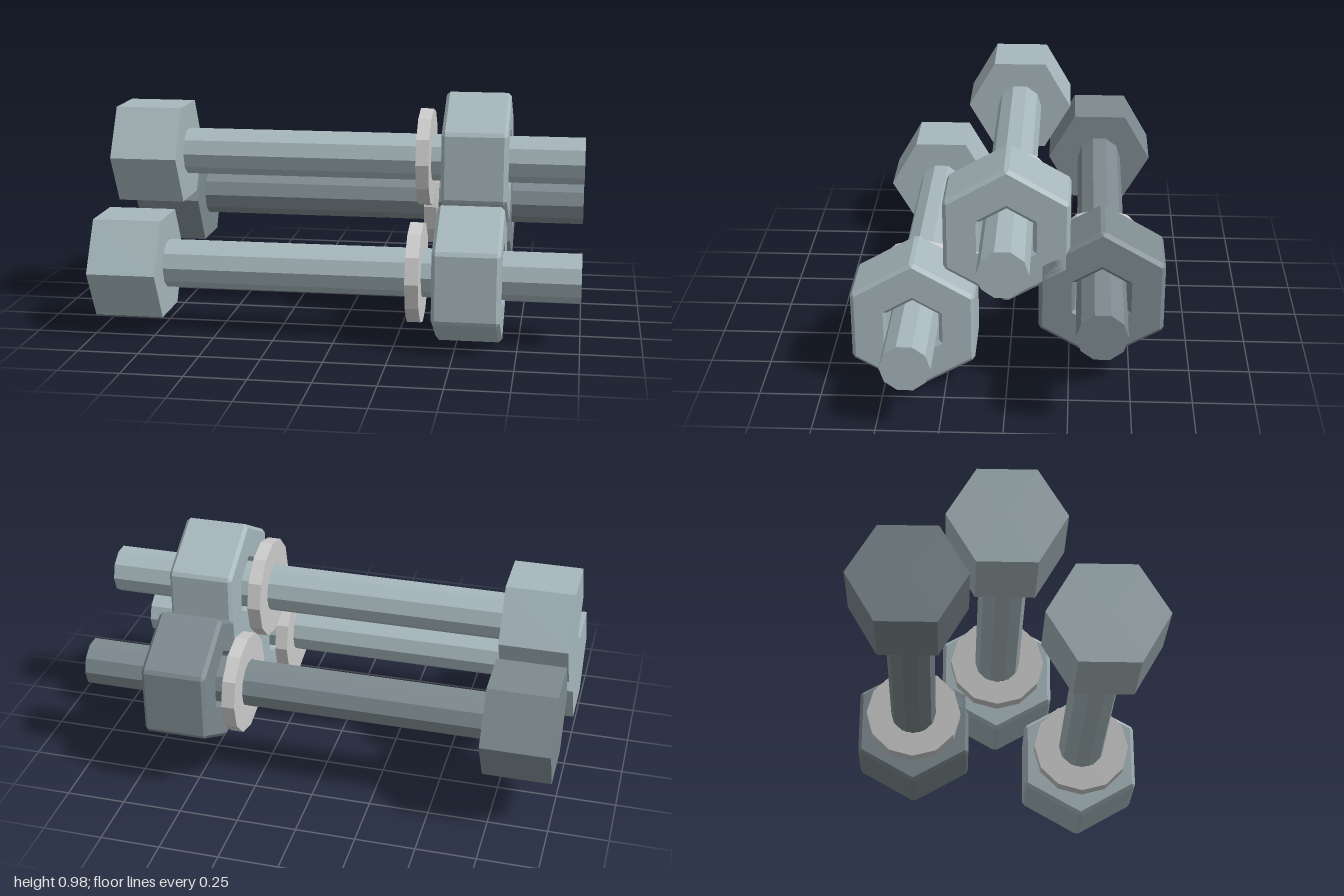
import * as THREE from 'three';

const material = (color) => new THREE.MeshStandardMaterial({ color, flatShading: true });

// Hexagonal ring with each corner cut back along its edges (two points per corner)
function hexRing(x, radius, cut) {
  const corner = (k) => new THREE.Vector3(x, radius * Math.cos(k * Math.PI / 3), radius * Math.sin(k * Math.PI / 3));
  const points = [];
  for (let k = 0; k < 6; k++) {
    const t = cut / radius;
    points.push(corner(k).lerp(corner(k - 1), t), corner(k).lerp(corner(k + 1), t));
  }
  return points;
}

// Nut: closed loft around its section, bevelled on the outside and at the hole
function nutGeometry() {
  const x0 = 0.412, x1 = 0.685, b = 0.0145;
  const rings = [
    [x0, 0.137, 0], [x0, 0.27, 0],
    [x0 + b, 0.2875, 0.011], [x1 - b, 0.2875, 0.011],
    [x1, 0.27, 0], [x1, 0.137, 0],
    [x1 - b, 0.12, 0], [x0 + b, 0.12, 0],
  ].map(([x, r, cut]) => hexRing(x, r, cut));
  const positions = [];
  const triangle = (a, b, c) => {
    const area = b.clone().sub(a).cross(c.clone().sub(a)).length();
    if (area > 1e-8) for (const p of [a, b, c]) positions.push(p.x, p.y, p.z);
  };
  rings.forEach((ring, i) => {
    const next = rings[(i + 1) % rings.length];
    for (let k = 0; k < 12; k++) {
      const m = (k + 1) % 12;
      triangle(ring[k], ring[m], next[m]);
      triangle(ring[k], next[m], next[k]);
    }
  });
  const geometry = new THREE.BufferGeometry();
  geometry.setAttribute('position', new THREE.Float32BufferAttribute(positions, 3));
  geometry.computeVertexNormals();
  return geometry;
}

// Prism lying along x
function prism(radius, sides, x0, x1) {
  return new THREE.CylinderGeometry(radius, radius, x1 - x0, sides)
    .rotateZ(-Math.PI / 2)
    .translate((x0 + x1) / 2, 0, 0);
}

// Flat ring around the x axis
function washerGeometry() {
  const x0 = 0.302, x1 = 0.357, inner = 0.101, outer = 0.21;
  const section = [[inner, x0], [outer, x0], [outer, x1], [inner, x1], [inner, x0]];
  return new THREE.LatheGeometry(section.map(([r, x]) => new THREE.Vector2(r, x)), 12)
    .rotateZ(-Math.PI / 2);
}

export function createModel() {
  const model = new THREE.Group();
  model.name = 'nutsAndBolts';

  const parts = {
    boltHead: prism(0.236, 6, -1, -0.715),
    boltShaft: prism(0.1, 10, -0.72, 1),
    washer: washerGeometry(),
    nut: nutGeometry(),
  };
  const lightSteel = material(0xa6b7bc);
  const darkSteel = material(0x7d8a8f);
  const washerMetal = material(0xcccccc);

  // Three identical assemblies, the rear one in darker steel
  const bolts = [
    ['topBolt', 0.694, 0, lightSteel],
    ['frontBolt', 0.283, 0.376, lightSteel],
    ['rearBolt', 0.437, -0.376, darkSteel],
  ];
  for (const [name, y, z, steel] of bolts) {
    const bolt = new THREE.Group();
    bolt.name = name;
    bolt.position.set(0, y, z);
    for (const [part, geometry] of Object.entries(parts)) {
      const mesh = new THREE.Mesh(geometry, part === 'washer' ? washerMetal : steel);
      mesh.name = part;
      bolt.add(mesh);
    }
    model.add(bolt);
  }
  return model;
}
